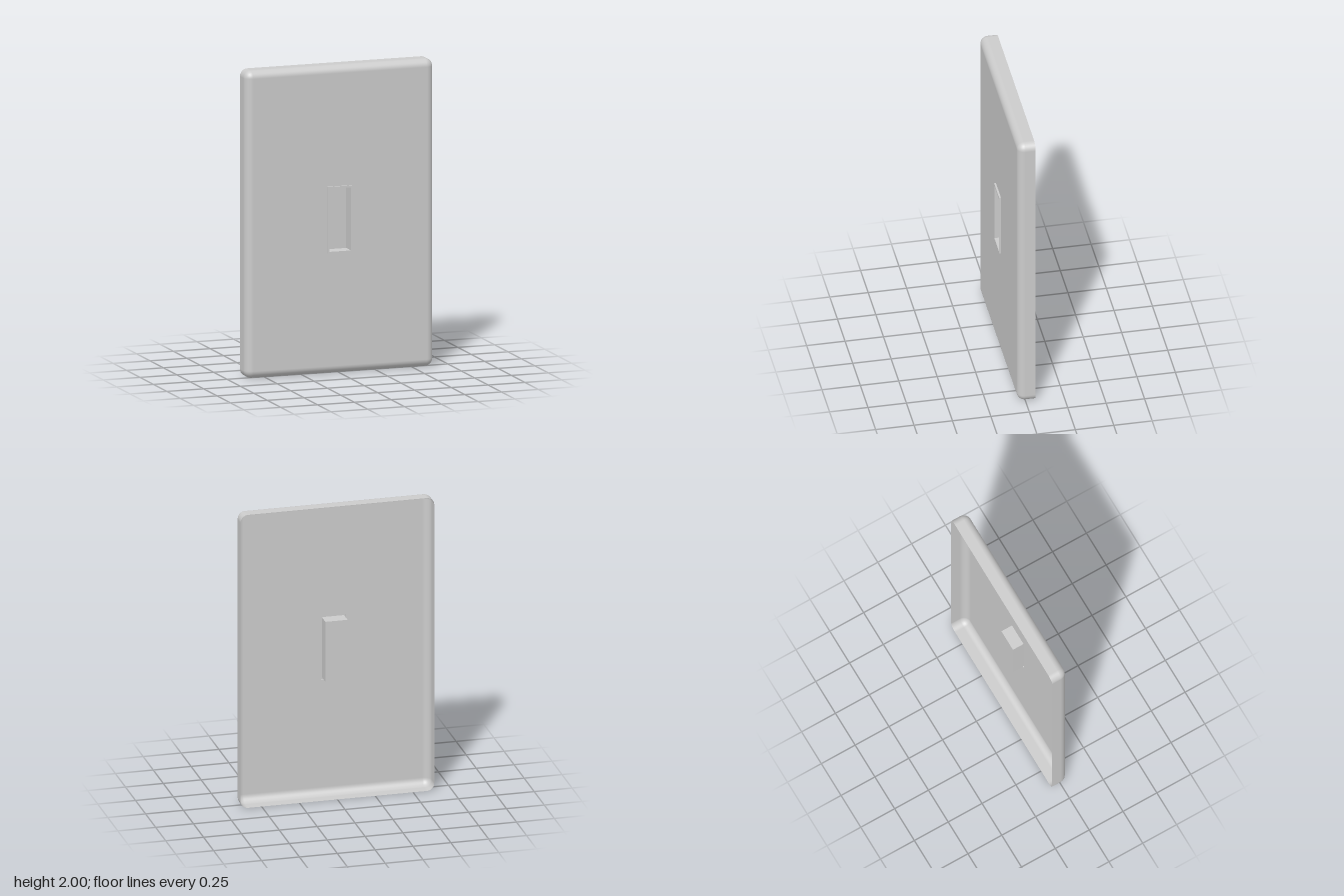
import * as THREE from 'three';

const W = 0.64, H = 1, R = 0.05;              // plate half width, half height, edge radius
const BACK = -0.063, FRONT = 0.051, RIM = 0.063, FLOOR = -0.025;
const CX = -0.004;                            // centre of the switch opening
const OUT = [0.083, 0.217], INN = [0.073, 0.205];

const material = new THREE.MeshStandardMaterial({ color: 0xcccccc, side: THREE.DoubleSide });

function rectPoints([w, h]) {
  return [[w, -h], [w, h], [-w, h], [-w, -h]].map(([x, y]) => new THREE.Vector2(x + CX, y));
}

// Skirt of the plate: straight wall, then a quarter-round edge with rounded corners
function skirtGeometry() {
  const steps = 8, pos = [], nor = [], idx = [];
  const profile = [[BACK, 0]];
  for (let k = 0; k <= steps; k++) profile.push([FRONT - R, (k / steps) * Math.PI / 2]);
  const n = 4 * (steps + 1);
  profile.forEach(([z, p]) => {
    for (let c = 0; c < 4; c++) {
      const sx = c === 0 || c === 3 ? 1 : -1, sy = c < 2 ? 1 : -1;
      for (let k = 0; k <= steps; k++) {
        const a = (c + k / steps) * Math.PI / 2;
        const d = [Math.cos(a) * Math.cos(p), Math.sin(a) * Math.cos(p), Math.sin(p)];
        pos.push(sx * (W - R) + R * d[0], sy * (H - R) + R * d[1], z + R * d[2]);
        nor.push(...d);
      }
    }
  });
  for (let j = 0; j < profile.length - 1; j++) {
    for (let i = 0; i < n; i++) {
      const a = j * n + i, b = j * n + (i + 1) % n;
      idx.push(a, b, a + n, b, b + n, a + n);
    }
  }
  const g = new THREE.BufferGeometry();
  g.setAttribute('position', new THREE.Float32BufferAttribute(pos, 3));
  g.setAttribute('normal', new THREE.Float32BufferAttribute(nor, 3));
  g.setIndex(idx);
  return g;
}

// Flat-shaded bands between successive rectangles [halfSize, z]
function bandGeometry(rings) {
  const pos = [];
  for (let j = 0; j < rings.length - 1; j++) {
    const [lo, hi] = [rings[j], rings[j + 1]].map(([s, z]) => rectPoints(s).map(p => [p.x, p.y, z]));
    for (let i = 0; i < 4; i++) {
      const k = (i + 1) % 4;
      pos.push(...lo[i], ...lo[k], ...hi[i], ...lo[k], ...hi[k], ...hi[i]);
    }
  }
  const g = new THREE.BufferGeometry();
  g.setAttribute('position', new THREE.Float32BufferAttribute(pos, 3));
  g.computeVertexNormals();
  return g;
}

export function createModel() {
  const model = new THREE.Group();
  model.name = 'wallPlate';
  const add = (name, geometry) => {
    const mesh = new THREE.Mesh(geometry, material);
    mesh.name = name;
    mesh.position.y = H;
    model.add(mesh);
    return mesh;
  };

  // Thin open-backed cover
  add('plateEdge', skirtGeometry());
  const w = W - R, h = H - R;
  const face = new THREE.Shape([[w, -h], [w, h], [-w, h], [-w, -h]].map(p => new THREE.Vector2(...p)));
  face.holes.push(new THREE.Path(rectPoints(OUT)));
  add('plateFace', new THREE.ShapeGeometry(face)).position.z = FRONT;

  // Raised rim running into the recessed pocket
  add('switchRim', bandGeometry([[OUT, FRONT], [OUT, RIM], [INN, RIM]]));
  add('pocketWalls', bandGeometry([[INN, RIM], [INN, FLOOR]]));
  const floor = add('pocketFloor', new THREE.PlaneGeometry(2 * INN[0], 2 * INN[1]));
  floor.position.set(CX, H, FLOOR);
  return model;
}
